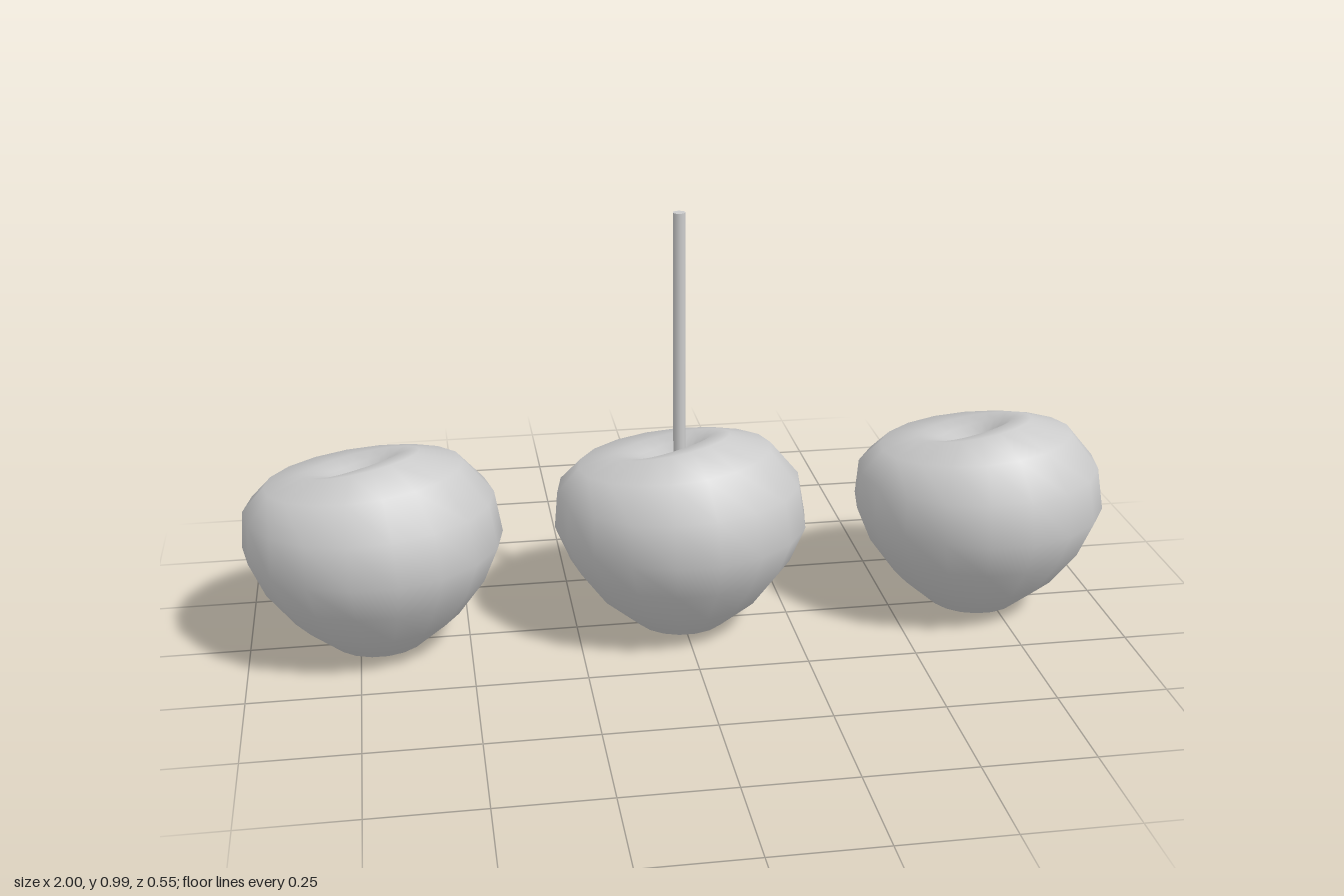
import * as THREE from 'three';
import { mergeVertices } from 'three/addons/utils/BufferGeometryUtils.js';

const grey = new THREE.MeshStandardMaterial({ color: 0xcccccc });

// Rings from base to dimple: radius, height, lift of the high side (towards +x +z)
const RINGS = [
  [0, 0, 0], [0.075, 0, 0], [0.107, 0.012, 0], [0.194, 0.088, 0], [0.257, 0.175, 0],
  [0.292, 0.26, 0], [0.28, 0.352, 0.01], [0.222, 0.42, 0.027], [0.13, 0.447, 0.034],
  [0.085, 0.441, 0.034], [0.045, 0.421, 0.02], [0, 0.402, 0],
];

function fruitGeometry() {
  const profile = RINGS.map(([r, y]) => new THREE.Vector2(r, y));
  let geometry = new THREE.LatheGeometry(profile, 18).rotateY(Math.PI / 2);
  geometry.deleteAttribute('uv');
  geometry.deleteAttribute('normal');

  // Tilt the crown and slightly flatten front to back
  const p = geometry.attributes.position;
  for (let i = 0; i < p.count; i++) {
    const lift = RINGS[i % RINGS.length][2];
    const x = p.getX(i), z = p.getZ(i);
    const side = Math.cos(Math.atan2(z, x) - Math.PI / 4);
    p.setXYZ(i, x - lift * 0.5, p.getY(i) + lift * side, z * 0.95);
  }
  geometry = mergeVertices(geometry, 1e-4);
  geometry.computeVertexNormals();
  return geometry;
}

export function createModel() {
  const model = new THREE.Group();
  model.name = 'fruitRow';

  // Three identical fruits in a row
  const geometry = fruitGeometry();
  const places = { rightFruit: -0.707, middleFruit: -0.004, leftFruit: 0.707 };
  for (const [name, x] of Object.entries(places)) {
    const fruit = new THREE.Mesh(geometry, grey);
    fruit.name = name;
    fruit.position.x = x;
    model.add(fruit);
  }

  // Straight stem rising from the middle dimple
  const stem = new THREE.Mesh(new THREE.CylinderGeometry(0.014, 0.014, 0.6, 12), grey);
  stem.name = 'stem';
  stem.position.set(-0.007, 0.69, 0);
  model.add(stem);

  return model;
}
